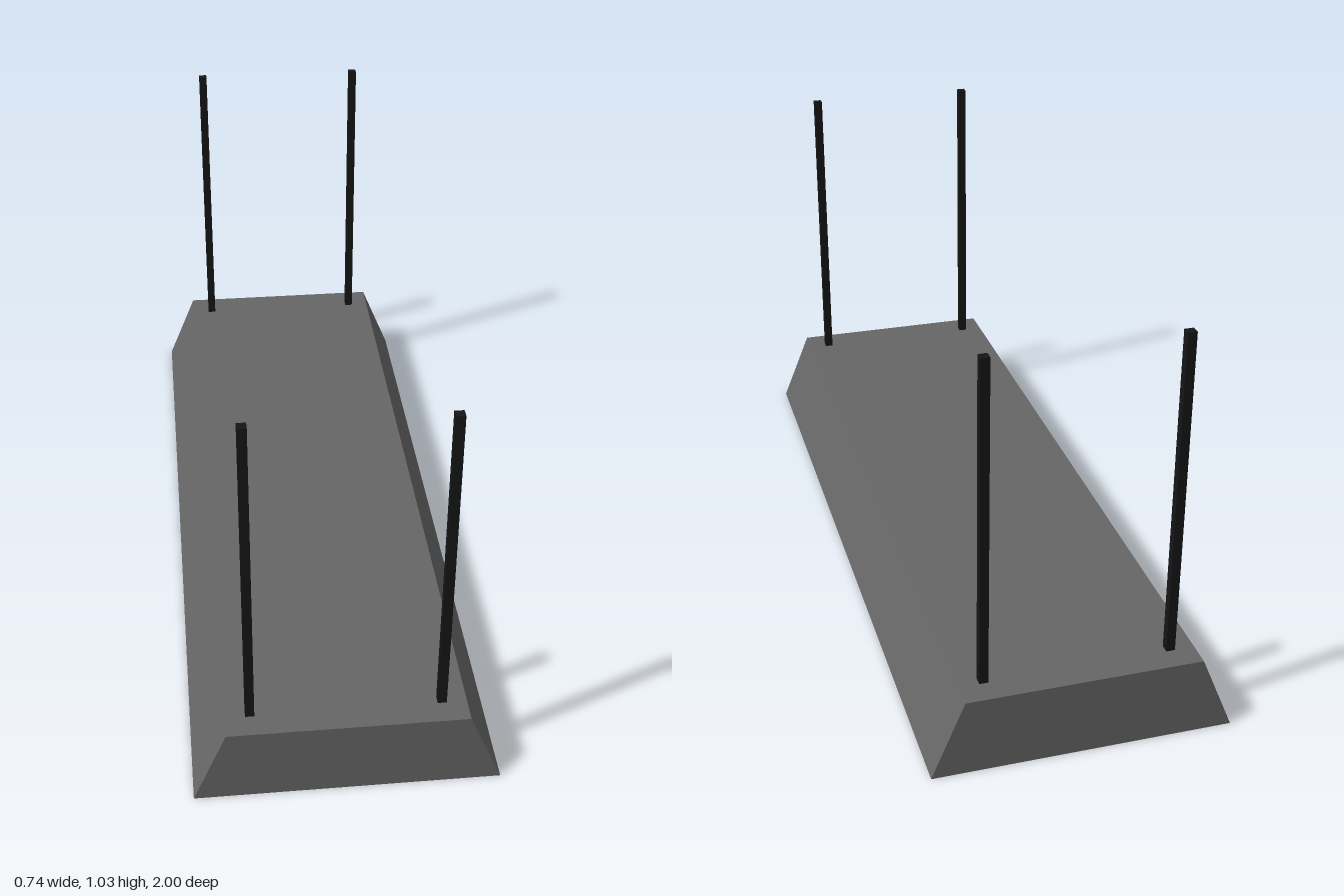
import * as THREE from 'three';

const material = (color) => new THREE.MeshStandardMaterial({ color });

// Flat-shaded shell through rectangular rings [halfX, y, halfZ], closed at one end by a cap.
function ringShell(rings, capRing, capUp) {
  const corners = ([x, y, z]) => [[x, y, z], [x, y, -z], [-x, y, -z], [-x, y, z]];
  const pos = [];
  const quad = (a, b, c, d) => [a, b, c, a, c, d].forEach((p) => pos.push(...p));
  for (let r = 0; r < rings.length - 1; r++) {
    const a = corners(rings[r]);
    const b = corners(rings[r + 1]);
    for (let i = 0; i < 4; i++) {
      const j = (i + 1) % 4;
      quad(a[i], b[i], b[j], a[j]);
    }
  }
  const c = corners(capRing);
  if (capUp) quad(c[0], c[1], c[2], c[3]);
  else quad(c[3], c[2], c[1], c[0]);
  const geo = new THREE.BufferGeometry();
  geo.setAttribute('position', new THREE.Float32BufferAttribute(pos, 3));
  geo.computeVertexNormals();
  return geo;
}

export function createModel() {
  const model = new THREE.Group();
  const dark = material(0x666666);
  const light = material(0xcccccc);
  const black = material(0x151515);

  const add = (name, geometry, mat, x = 0, y = 0, z = 0) => {
    const mesh = new THREE.Mesh(geometry, mat);
    mesh.name = name;
    mesh.position.set(x, y, z);
    model.add(mesh);
    return mesh;
  };

  // Housing: flat top, sloped long sides, upright ends and a flat bottom rim
  const top = [0.29, 0.2, 1];
  const rim = [0.33, 0, 0.96];
  add('housing', ringShell([top, [0.372, 0, 1], rim], top, true), dark);

  // Reflector recessed into the underside
  const ceiling = [0.27, 0.095, 0.84];
  add('reflector', ringShell([rim, ceiling], ceiling, false), light);

  // Two lamp tubes, each held by a socket at both ends
  const tubeGeo = new THREE.CylinderGeometry(0.035, 0.035, 1.52, 24).rotateX(Math.PI / 2);
  const socketGeo = new THREE.BoxGeometry(0.085, 0.087, 0.085);
  // Four square hanging rods
  const rodGeo = new THREE.BoxGeometry(0.022, 0.832, 0.022);

  for (const sx of [-1, 1]) {
    const side = sx > 0 ? 'left' : 'right';
    add(`${side}Tube`, tubeGeo, light, sx * 0.115, 0.05, 0);
    for (const sz of [-1, 1]) {
      const end = sz > 0 ? 'Front' : 'Back';
      add(`${side}${end}Socket`, socketGeo, light, sx * 0.115, 0.0515, sz * 0.795);
      add(`${side}${end}Rod`, rodGeo, black, sx * 0.23, 0.616, sz * 0.93);
    }
  }
  return model;
}
